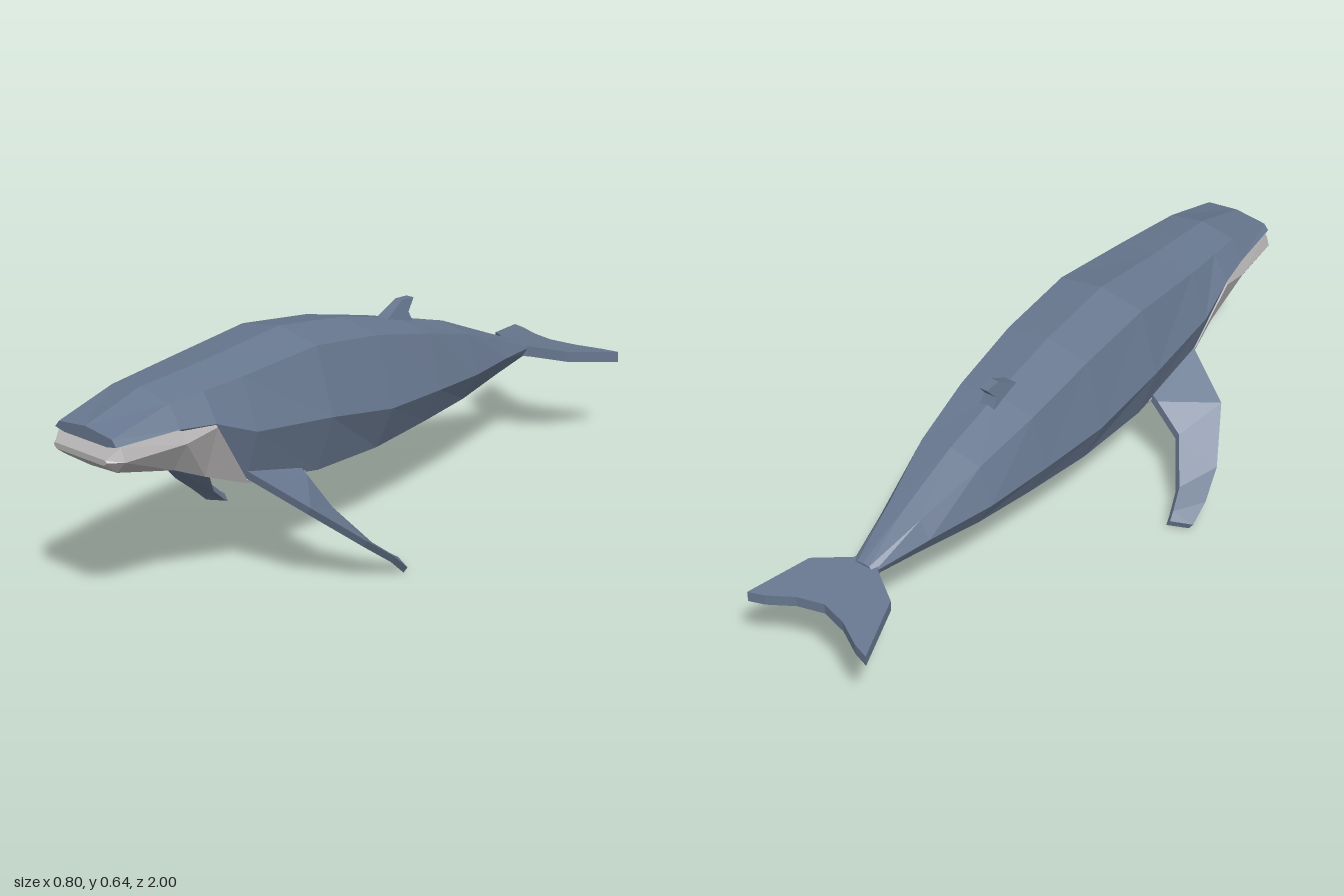
import * as THREE from 'three';

const blue = new THREE.MeshStandardMaterial({ color: 0x687890 });
blue.name = 'slateBlueSkin';
const grey = new THREE.MeshStandardMaterial({ color: 0xb4b2b2 });
grey.name = 'paleGreyThroat';

// Faceted loft through rings of [x, y, z] points, one copy per side in `sides`.
// closed: each ring is a full loop; otherwise it is half a section ending on x = 0.
function loft(rings, sides, closed) {
  const pos = [];
  const n = rings[0].length;
  for (const side of sides) {
    const tri = (a, b, c) => {
      for (const p of side > 0 ? [a, b, c] : [a, c, b]) pos.push(p[0] * side, p[1], p[2]);
    };
    for (let i = 0; i < rings.length - 1; i++) {
      for (let j = 0; j < (closed ? n : n - 1); j++) {
        const k = (j + 1) % n;
        const [a, b, c, d] = [rings[i][j], rings[i][k], rings[i + 1][k], rings[i + 1][j]];
        tri(a, b, c);
        tri(a, c, d);
      }
    }
    // end caps
    const first = rings[0], last = rings[rings.length - 1];
    for (let k = 1; k < n - 1; k++) {
      tri(first[0], first[k + 1], first[k]);
      tri(last[0], last[k], last[k + 1]);
    }
  }
  const geo = new THREE.BufferGeometry();
  geo.setAttribute('position', new THREE.Float32BufferAttribute(pos, 3));
  geo.computeVertexNormals();
  return geo;
}

function part(name, geo, material) {
  const mesh = new THREE.Mesh(geo, material);
  mesh.name = name;
  return mesh;
}

// Extrudes an outline, then moves each vertex by a rule
function extrude(outline, depth, place, rule) {
  const shape = new THREE.Shape(outline.map(([x, y]) => new THREE.Vector2(x, y)));
  const geo = new THREE.ExtrudeGeometry(shape, { depth, bevelEnabled: false });
  place(geo);
  const p = geo.attributes.position;
  const v = new THREE.Vector3();
  for (let i = 0; i < p.count; i++) {
    rule(v.fromBufferAttribute(p, i));
    p.setXYZ(i, v.x, v.y, v.z);
  }
  geo.computeVertexNormals();
  return geo;
}

// Body and upper jaw: z, spine y, back edge x/y, flank x/y, belly edge x/y, keel y
function body() {
  const rows = [
    [0.98, 0.545, 0.1, 0.533, 0.115, 0.515, 0.08, 0.508, 0.508],
    [0.79, 0.6, 0.108, 0.58, 0.145, 0.518, 0.1, 0.5, 0.5],
    [0.68, 0.606, 0.118, 0.586, 0.165, 0.508, 0.12, 0.45, 0.42],
    [0.55, 0.614, 0.128, 0.594, 0.182, 0.455, 0.135, 0.305, 0.3],
    [0.28, 0.64, 0.14, 0.615, 0.197, 0.425, 0.14, 0.258, 0.25],
    [0.03, 0.605, 0.137, 0.582, 0.19, 0.38, 0.13, 0.25, 0.24],
    [-0.2, 0.548, 0.125, 0.527, 0.165, 0.367, 0.11, 0.26, 0.25],
    [-0.4, 0.49, 0.1, 0.47, 0.138, 0.355, 0.085, 0.268, 0.258],
    [-0.6, 0.405, 0.055, 0.395, 0.085, 0.342, 0.05, 0.285, 0.277],
    [-0.77, 0.335, 0.02, 0.333, 0.036, 0.322, 0.025, 0.3, 0.295],
  ];
  const rings = rows.map(([z, t, ex, ey, sx, sy, bx, by, c]) =>
    [[0, t, z], [ex, ey, z], [sx, sy, z], [bx, by, z], [0, c, z]]);
  return part('body', loft(rings, [1, -1], false), blue);
}

// Lower jaw and throat: z, lip x/y, jaw side x/y, underside edge x/y, keel y
function throat() {
  const rows = [
    [1.0, 0.095, 0.482, 0.1, 0.476, 0.09, 0.466, 0.466],
    [0.965, 0.115, 0.512, 0.13, 0.475, 0.098, 0.44, 0.435],
    [0.78, 0.14, 0.516, 0.158, 0.48, 0.107, 0.395, 0.388],
    [0.68, 0.16, 0.51, 0.168, 0.5, 0.117, 0.35, 0.342],
    [0.55, 0.05, 0.4, 0.14, 0.309, 0.137, 0.299, 0.292],
    [0.33, 0.05, 0.4, 0.142, 0.27, 0.139, 0.259, 0.25],
  ];
  const rings = rows.map(([z, lx, ly, sx, sy, bx, by, c]) =>
    [[0, ly, z], [lx, ly, z], [sx, sy, z], [bx, by, z], [0, c, z]]);
  return part('lowerJawAndThroat', loft(rings, [1, -1], false), grey);
}

// Flipper: leading upper corner and trailing lower corner of each section
function flipper(name, side) {
  const sections = [
    [[0.1, 0.355, 0.57], [0.1, 0.29, 0.35]],
    [[0.145, 0.335, 0.552], [0.15, 0.25, 0.345]],
    [[0.298, 0.25, 0.475], [0.235, 0.175, 0.335]],
    [[0.379, 0.135, 0.34], [0.3, 0.065, 0.25]],
    [[0.4, 0.07, 0.255], [0.318, 0.02, 0.195]],
    [[0.397, 0.02, 0.2], [0.325, 0.003, 0.17]],
  ];
  const rings = sections.map(([l, t]) => [
    [t[0] + 0.012, t[1] + 0.02, t[2]],
    l,
    [l[0] - 0.014, l[1] - 0.02, l[2]],
    t,
  ]);
  return part(name, loft(rings, [side], true), blue);
}

// Tail flukes: flat outline sloping down toward the tips
function flukes() {
  const half = [[0.032, 0.74], [0.04, 0.76], [0.14, 0.825], [0.203, 1.0], [0.155, 0.985], [0.08, 0.945]];
  const mirrored = half.map(([x, s]) => [-x, s]).reverse();
  const geo = extrude([...half, [0, 0.925], ...mirrored], 0.032,
    (g) => g.rotateX(-Math.PI / 2),
    (v) => { v.y += 0.299 + 0.17 * (v.z + 0.75); });
  return part('tailFlukes', geo, blue);
}

// Small hooked dorsal fin, narrower at the top
function dorsalFin() {
  const outline = [[0.12, 0.55], [0.25, 0.515], [0.228, 0.562], [0.257, 0.597], [0.207, 0.6], [0.165, 0.575]];
  const geo = extrude(outline, 0.056,
    (g) => g.rotateY(Math.PI / 2).translate(-0.028, 0, 0),
    (v) => { v.x *= THREE.MathUtils.mapLinear(v.y, 0.515, 0.6, 1, 0.45); });
  return part('dorsalFin', geo, blue);
}

export function createModel() {
  const whale = new THREE.Group();
  whale.name = 'whale';
  whale.add(body(), throat(), flipper('leftFlipper', 1), flipper('rightFlipper', -1), flukes(), dorsalFin());
  return whale;
}
